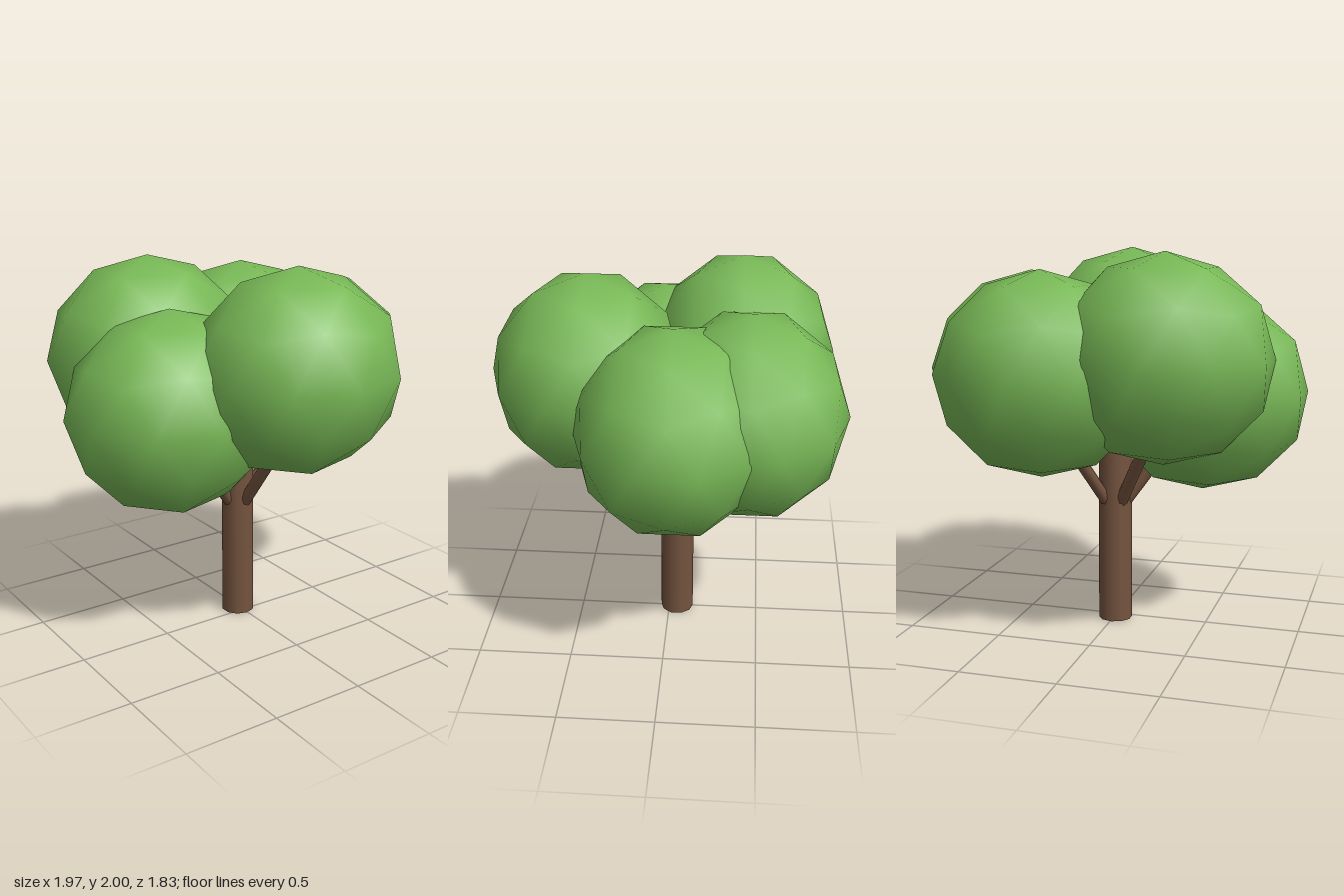
import * as THREE from 'three';

export function createModel() {
  const tree = new THREE.Group();
  tree.name = 'tree';
  const bark = new THREE.MeshStandardMaterial({ color: 0x75543f });
  const leaves = new THREE.MeshStandardMaterial({ color: 0x78b856 });

  const add = (name, geometry, material) => {
    const mesh = new THREE.Mesh(geometry, material);
    mesh.name = name;
    tree.add(mesh);
    return mesh;
  };

  // Foliage ball: smooth low-poly icosphere standing on a corner, slightly squashed
  const ball = new THREE.IcosahedronGeometry(1, 1);
  ball.rotateX(-Math.atan((1 + Math.sqrt(5)) / 2));
  ball.rotateY(Math.PI / 2);
  ball.scale(0.552, 0.525, 0.495);

  // Trunk
  const base = new THREE.Vector3(-0.005, 0, -0.045);
  const trunkHeight = 1.15;
  add('trunk', new THREE.CylinderGeometry(0.09, 0.09, trunkHeight, 10), bark)
    .position.set(base.x, trunkHeight / 2, base.z);

  // Each clump of leaves is carried by a branch leaning out of the trunk
  const clumps = [
    ['front', 0.035, 1.475, 0.42],
    ['left', 0.46, 1.36, -0.047],
    ['right', -0.465, 1.26, 0.037],
    ['backLeft', 0.275, 1.375, -0.422],
    ['backRight', -0.35, 1.465, -0.37],
  ];
  const up = new THREE.Vector3(0, 1, 0);
  for (const [side, x, y, z] of clumps) {
    add(side + 'Foliage', ball, leaves).position.set(x, y, z);

    const start = new THREE.Vector3(base.x, 0.58, base.z);
    const end = new THREE.Vector3(x - base.x, 0, z - base.z).setLength(0.36).add(base).setY(1.08);
    const along = end.clone().sub(start);
    const branch = add(side + 'Branch', new THREE.CylinderGeometry(0.033, 0.033, along.length(), 8), bark);
    branch.position.copy(start).lerp(end, 0.5);
    branch.quaternion.setFromUnitVectors(up, along.normalize());
  }
  return tree;
}
